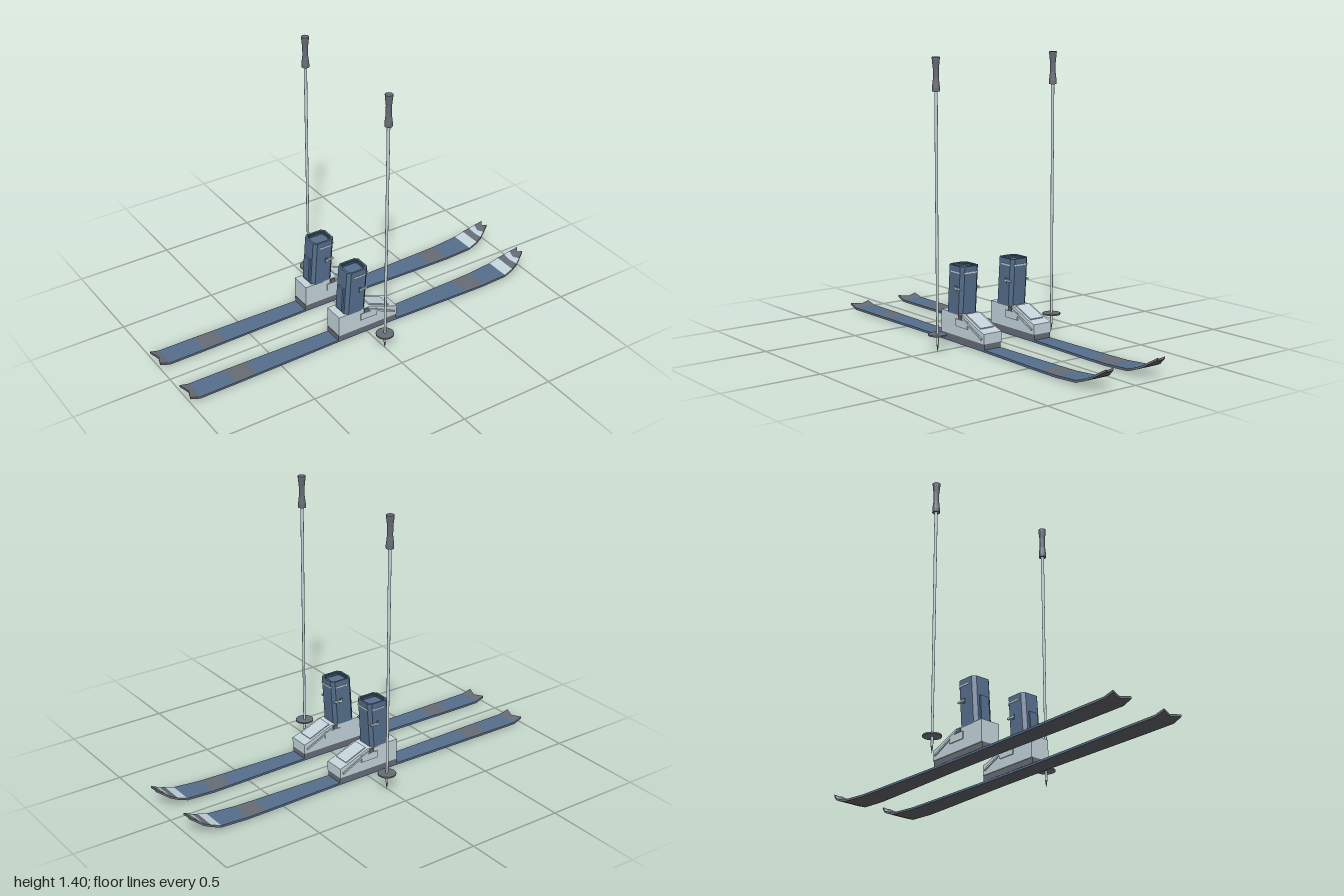
import * as THREE from 'three';

const mat = (name, color) => {
  const m = new THREE.MeshStandardMaterial({ color });
  m.name = name;
  return m;
};

export function createModel() {
  const model = new THREE.Group();
  const blue = mat('blue', 0x546d8b);
  const navy = mat('navy', 0x3d5068);
  const pale = mat('pale grey', 0xc1d2d8);
  const grey = mat('grey', 0x666a74);
  const charcoal = mat('charcoal', 0x57585d);

  const add = (parent, name, geo, material, x = 0, y = 0, z = 0) => {
    const m = new THREE.Mesh(geo, material);
    m.name = name;
    m.position.set(x, y, z);
    parent.add(m);
    return m;
  };

  // Flat-shaded geometry from a list of four-cornered faces
  const quads = (list) => {
    const pos = [];
    for (const [a, b, c, d] of list) pos.push(...a, ...b, ...c, ...a, ...c, ...d);
    const g = new THREE.BufferGeometry();
    g.setAttribute('position', new THREE.Float32BufferAttribute(pos, 3));
    g.computeVertexNormals();
    return g;
  };

  // Ski stations: x at edge, x at centre line, underside y, centre y, half width, top and edge colour onward
  const stations = [
    [-1, -0.98, 0.022, 0.016, 0.054, grey, grey],
    [-0.95, -0.95, 0.006, 0.006, 0.058, blue, grey],
    [-0.76, -0.76, 0.006, 0.006, 0.057, grey, blue],
    [-0.64, -0.64, 0.006, 0.006, 0.055, blue, blue],
    [-0.15, -0.15, 0.006, 0.006, 0.047, blue, blue],
    [0.15, 0.15, 0.006, 0.006, 0.048, blue, blue],
    [0.6, 0.6, 0.006, 0.006, 0.059, grey, blue],
    [0.71, 0.71, 0.007, 0.007, 0.062, blue, grey],
    [0.855, 0.855, 0.017, 0.017, 0.066, pale, grey],
    [0.905, 0.905, 0.035, 0.035, 0.062, grey, grey],
    [0.94, 0.935, 0.05, 0.048, 0.053, pale, grey],
    [0.965, 0.955, 0.068, 0.06, 0.041, grey, grey],
    [1, 0.985, 0.091, 0.081, 0.022, grey, grey],
  ];
  const row = ([xe, xc, ye, yc, h], lift) =>
    [[xe, ye + lift, -h], [xc, yc + lift, 0], [xe, ye + lift, h]];

  function makeSki(parent) {
    const ski = new THREE.Group();
    ski.name = 'ski';
    parent.add(ski);
    const base = [], tops = new Map(), edges = new Map();
    const put = (map, key, ...faces) => map.set(key, [...(map.get(key) ?? []), ...faces]);
    const t = 0.011;
    for (let i = 0; i < stations.length - 1; i++) {
      const [a, b] = [row(stations[i], 0), row(stations[i + 1], 0)];
      const [A, B] = [row(stations[i], t), row(stations[i + 1], t)];
      for (const k of [0, 1]) {
        put(tops, stations[i][5], [A[k], A[k + 1], B[k + 1], B[k]]);
        base.push([a[k], b[k], b[k + 1], a[k + 1]]);
      }
      put(edges, stations[i][6], [a[2], b[2], B[2], A[2]], [b[0], a[0], A[0], B[0]]);
    }
    // Notched end caps
    const last = stations[stations.length - 1];
    const [s, S, e, E] = [row(stations[0], 0), row(stations[0], t), row(last, 0), row(last, t)];
    for (const k of [0, 1]) {
      put(edges, grey, [s[k], s[k + 1], S[k + 1], S[k]], [e[k + 1], e[k], E[k], E[k + 1]]);
    }
    for (const [m, list] of tops) add(ski, `skiTop ${m.name}`, quads(list), m);
    for (const [m, list] of edges) add(ski, `skiEdge ${m.name}`, quads(list), m);
    add(ski, 'skiBase', quads(base), charcoal);
  }

  // Chamfered rectangle outline, and an upright prism made from it
  const outline = (w, d, c, Type = THREE.Shape) => {
    const [x, z] = [w / 2, d / 2];
    return new Type([[-x + c, -z], [x - c, -z], [x, -z + c], [x, z - c],
      [x - c, z], [-x + c, z], [-x, z - c], [-x, -z + c]].map(p => new THREE.Vector2(...p)));
  };
  const lean = 0.07;
  const prism = (w, d, c, y0, y1, wall = 0) => {
    const shape = outline(w, d, c);
    if (wall) shape.holes.push(outline(w - 2 * wall, d - 2 * wall, c * 0.7, THREE.Path));
    const g = new THREE.ExtrudeGeometry(shape, { depth: y1 - y0, bevelEnabled: false });
    g.rotateX(-Math.PI / 2).translate(-0.074, y0, 0);
    // Forward lean of the cuff
    const p = g.attributes.position;
    for (let i = 0; i < p.count; i++) p.setX(i, p.getX(i) + (p.getY(i) - 0.155) * lean);
    g.computeVertexNormals();
    return g;
  };

  function makeBoot(parent) {
    const boot = new THREE.Group();
    boot.name = 'boot';
    parent.add(boot);
    add(boot, 'bindingPlate', new THREE.BoxGeometry(0.345, 0.03, 0.098), grey, -0.002, 0.031, 0);

    // Lower shell with sloping toe
    const side = new THREE.Shape([[-0.172, 0.045], [0.172, 0.045], [0.172, 0.095],
      [0.13, 0.108], [0.015, 0.155], [-0.172, 0.155]].map(p => new THREE.Vector2(...p)));
    const shell = new THREE.ExtrudeGeometry(side, { depth: 0.106, bevelEnabled: false });
    add(boot, 'lowerShell', shell, pale, 0, 0, -0.053);
    const tongue = add(boot, 'toeTongue', new THREE.BoxGeometry(0.125, 0.01, 0.08), pale, 0.07, 0.133, 0);
    tongue.rotation.z = -0.388;

    // Cuff, collar and liner
    add(boot, 'cuff', prism(0.118, 0.106, 0.016, 0.15, 0.36), blue);
    add(boot, 'collar', prism(0.118, 0.106, 0.016, 0.36, 0.39, 0.009), blue);
    add(boot, 'linerRim', prism(0.1, 0.088, 0.011, 0.36, 0.386, 0.006), navy);
    add(boot, 'liner', prism(0.088, 0.076, 0.008, 0.36, 0.374), blue);
    const spine = add(boot, 'cuffSpine', new THREE.BoxGeometry(0.012, 0.125, 0.05), blue, -0.131, 0.23, 0);
    spine.rotation.z = -lean;

    // Strap across the front of the cuff
    add(boot, 'cuffStrap', new THREE.BoxGeometry(0.006, 0.007, 0.084), pale, -0.001, 0.358, 0);

    // Buckles and levers on both sides
    for (const s of [1, -1]) {
      add(boot, 'strapEnd', new THREE.BoxGeometry(0.07, 0.007, 0.006), pale, -0.052, 0.358, s * 0.052);
      add(boot, 'cuffBuckle', new THREE.BoxGeometry(0.045, 0.009, 0.009), pale, -0.033, 0.279, s * 0.055);
      add(boot, 'buckleBase', new THREE.BoxGeometry(0.014, 0.024, 0.006), blue, -0.05, 0.279, s * 0.054);
      add(boot, 'anklePlate', new THREE.BoxGeometry(0.095, 0.036, 0.007), pale, 0, 0.112, s * 0.055);
      add(boot, 'anklePivot', new THREE.BoxGeometry(0.024, 0.022, 0.008), grey, -0.015, 0.142, s * 0.055);
      const lever = add(boot, 'toeLever', new THREE.BoxGeometry(0.17, 0.009, 0.008), pale, 0.08, 0.104, s * 0.055);
      lever.rotation.z = -0.44;
    }
  }

  function makePole(z) {
    const pole = new THREE.Group();
    pole.name = 'pole';
    pole.position.z = z;
    model.add(pole);
    add(pole, 'poleShaft', new THREE.CylinderGeometry(0.008, 0.006, 1.21, 12), pale, 0, 0.64, 0);
    add(pole, 'poleTip', new THREE.CylinderGeometry(0.006, 0.0005, 0.036, 12), grey, 0, 0.018, 0);
    add(pole, 'basket', new THREE.CylinderGeometry(0.045, 0.045, 0.007, 20), grey, 0, 0.083, 0);
    const grip = [[0, 1.24], [0.019, 1.24], [0.019, 1.258], [0.014, 1.3], [0.014, 1.345],
      [0.0185, 1.385], [0.0195, 1.4], [0, 1.4]].map(q => new THREE.Vector2(...q));
    const geo = new THREE.LatheGeometry(grip, 14).toNonIndexed();
    geo.computeVertexNormals();
    add(pole, 'poleGrip', geo, grey);
  }

  for (const s of [1, -1]) {
    const set = new THREE.Group();
    set.name = s > 0 ? 'frontSkiAndBoot' : 'rearSkiAndBoot';
    set.position.z = s * 0.153;
    model.add(set);
    makeSki(set);
    makeBoot(set);
    makePole(s * 0.352);
  }
  return model;
}
